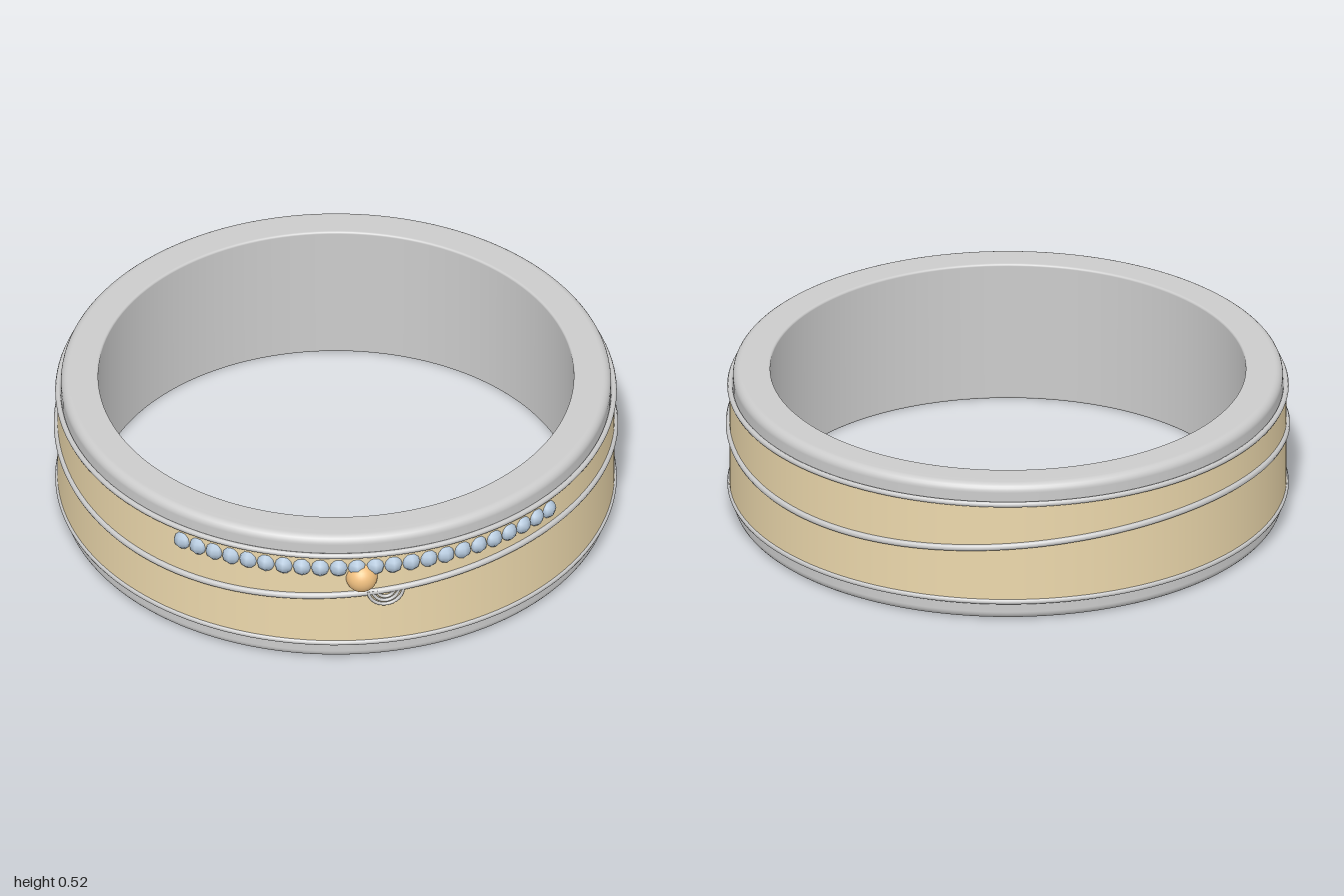
import * as THREE from 'three';

const mat = (color) => new THREE.MeshStandardMaterial({ color });

export function createModel() {
  const model = new THREE.Group();
  const ring = new THREE.Group();
  ring.name = 'ring';
  ring.position.z = -0.015;
  model.add(ring);

  const silver = mat(0xcccccc);
  const gold = mat(0xecd8ac);
  const amber = mat(0xf0c080);
  const paleBlue = mat(0xb4c8dc);

  const add = (name, geometry, material, parent = ring) => {
    const mesh = new THREE.Mesh(geometry, material);
    mesh.name = name;
    parent.add(mesh);
    return mesh;
  };
  // Point on the ring at angle a from the front, towards +x
  const around = (a, r, y) => new THREE.Vector3(r * Math.sin(a), y, r * Math.cos(a));

  // Band: rounded rectangular section turned about y
  const inner = 0.83, outer = 0.96, height = 0.52;
  const profile = [];
  const corner = (cx, cy, radius, start) => {
    for (let i = 0; i <= 6; i++) {
      const a = start + (i / 6) * Math.PI / 2;
      profile.push(new THREE.Vector2(cx + radius * Math.cos(a), cy + radius * Math.sin(a)));
    }
  };
  const ro = 0.03, ri = 0.008;
  corner(inner + ri, ri, ri, Math.PI);
  corner(outer - ro, ro, ro, Math.PI * 1.5);
  corner(outer - ro, height - ro, ro, 0);
  corner(inner + ri, height - ri, ri, Math.PI / 2);
  profile.push(profile[0].clone());
  add('band', new THREE.LatheGeometry(profile, 128), silver);

  // Coloured sleeve round the band
  const low = 0.075, high = 0.45;
  const sleeve = add('sleeve', new THREE.CylinderGeometry(0.972, 0.972, high - low, 128, 1, true), gold);
  sleeve.position.y = (low + high) / 2;

  // Wire trims along both sleeve edges
  for (const [name, y] of [['lowerTrim', low], ['upperTrim', high]]) {
    const trim = add(name, new THREE.TorusGeometry(0.97, 0.01, 8, 128), silver);
    trim.rotation.x = Math.PI / 2;
    trim.position.y = y;
  }

  // Wavy wire, two waves per turn
  const wave = [];
  for (let i = 0; i < 64; i++) {
    const a = (i / 64) * Math.PI * 2;
    wave.push(around(a, 0.973, 0.296 + 0.034 * Math.sin(2 * a)));
  }
  add('waveWire', new THREE.TubeGeometry(new THREE.CatmullRomCurve3(wave, true), 160, 0.012, 8, true), silver);

  // Row of small beads across the front
  const beads = new THREE.Group();
  beads.name = 'beadRow';
  ring.add(beads);
  const beadShape = new THREE.SphereGeometry(0.036, 8, 6);
  const count = 23, first = -0.765, last = 0.69;
  for (let i = 0; i < count; i++) {
    const a = first + (i / (count - 1)) * (last - first);
    const bead = add('bead', beadShape, paleBlue, beads);
    bead.position.copy(around(a, 0.96, 0.4));
    bead.rotation.y = a;
  }

  // Round stone
  add('stone', new THREE.SphereGeometry(0.056, 32, 20), amber).position.set(-0.083, 0.355, 0.959);

  // Concentric half rings hanging under the wave
  const arcs = new THREE.Group();
  arcs.name = 'halfRings';
  arcs.position.set(0, 0.3, 0.977);
  ring.add(arcs);
  for (const r of [0.03, 0.046, 0.062]) {
    const arc = add('halfRing', new THREE.TorusGeometry(r, 0.006, 8, 24, Math.PI), silver, arcs);
    arc.rotation.z = Math.PI;
  }

  return model;
}
